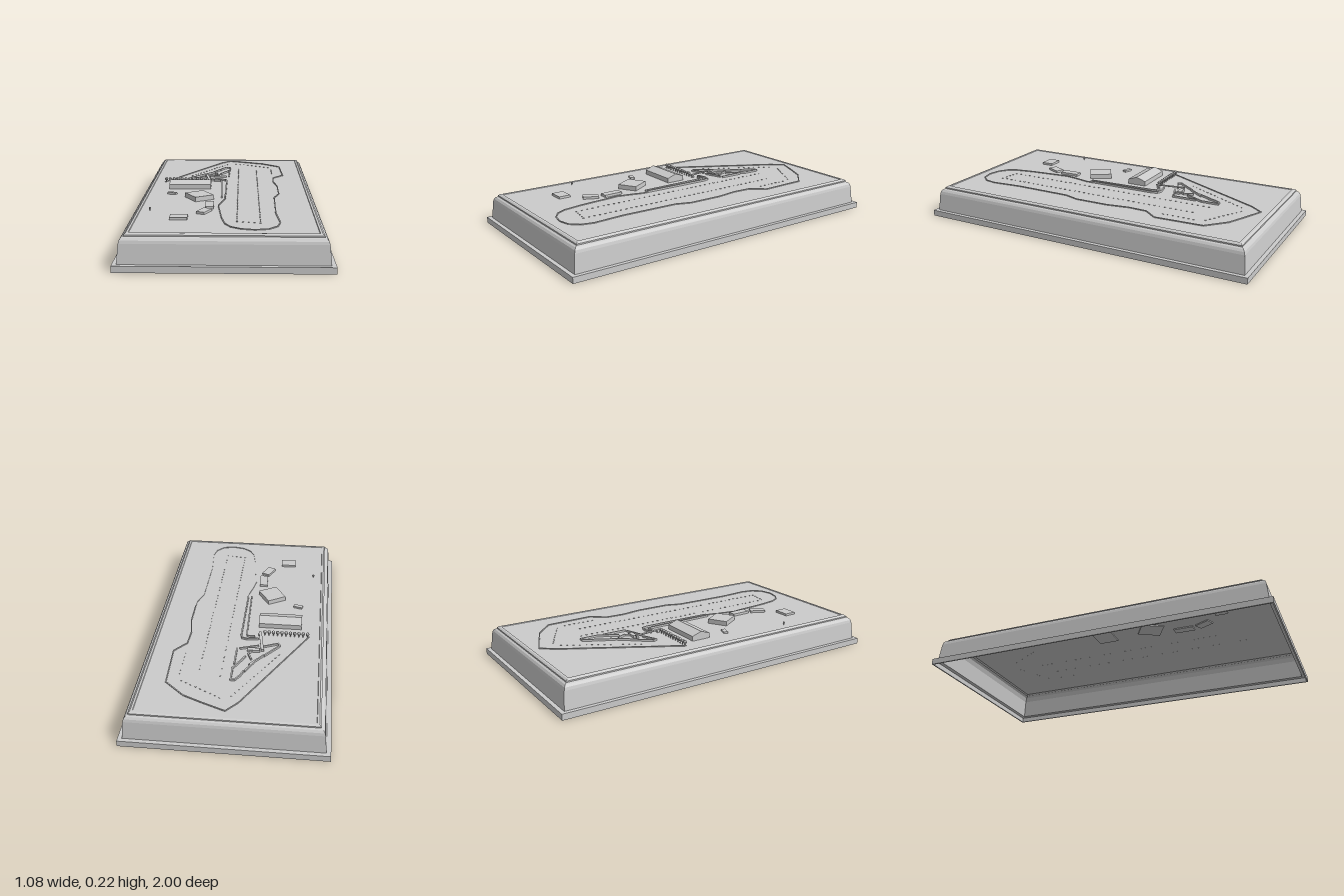
import * as THREE from 'three';
import { mergeGeometries } from 'three/addons/utils/BufferGeometryUtils.js';

const GROUND = 0.177;
const mat = new THREE.MeshStandardMaterial({ color: 0xcccccc, flatShading: true, side: THREE.DoubleSide });

// Mitred rectangular shell; profile is [inset, height] from the outer edge.
function rectShell(profile) {
  const pos = [];
  const signs = [[1, 1], [1, -1], [-1, -1], [-1, 1]];
  const at = ([inset, y], k) => {
    const [sx, sz] = signs[k % 4];
    return [sx * (0.54 - inset), y, sz * (1 - inset)];
  };
  for (let i = 0; i < profile.length - 1; i++) {
    for (let k = 0; k < 4; k++) {
      const a = at(profile[i], k), b = at(profile[i], k + 1);
      const c = at(profile[i + 1], k + 1), d = at(profile[i + 1], k);
      pos.push(...a, ...b, ...c, ...a, ...c, ...d);
    }
  }
  const g = new THREE.BufferGeometry();
  g.setAttribute('position', new THREE.Float32BufferAttribute(pos, 3));
  g.computeVertexNormals();
  return g;
}

// Low wall following [x, z] points, one box per segment.
function wall(points, width, height, closed = false, base = GROUND) {
  const pts = closed ? [...points, points[0]] : points;
  const parts = [];
  for (let i = 0; i < pts.length - 1; i++) {
    const [x0, z0] = pts[i], [x1, z1] = pts[i + 1];
    const g = new THREE.BoxGeometry(Math.hypot(x1 - x0, z1 - z0) + width * 0.6, height, width);
    g.rotateY(Math.atan2(z0 - z1, x1 - x0));
    g.translate((x0 + x1) / 2, base + height / 2, (z0 + z1) / 2);
    parts.push(g);
  }
  return mergeGeometries(parts);
}

// Row of small marker blocks from one [x, z] point to another.
function markers([x0, z0], [x1, z1], count) {
  const parts = [];
  for (let i = 0; i < count; i++) {
    const t = i / (count - 1);
    const g = new THREE.BoxGeometry(0.005, 0.003, 0.009);
    g.rotateY(Math.atan2(x1 - x0, z1 - z0));
    g.translate(x0 + (x1 - x0) * t, GROUND + 0.001, z0 + (z1 - z0) * t);
    parts.push(g);
  }
  return mergeGeometries(parts);
}

export function createModel() {
  const model = new THREE.Group();
  const add = (name, geometry, parent = model) => {
    const mesh = new THREE.Mesh(geometry, mat);
    mesh.name = name;
    parent.add(mesh);
    return mesh;
  };

  // Hollow plinth: flange, sloping wall, rounded shoulder, raised rim, inner skin
  add('plinth', rectShell([
    [0.008, 0], [0, 0], [0, 0.034], [0.023, 0.034], [0.033, 0.135], [0.037, 0.15],
    [0.045, 0.161], [0.056, 0.166], [0.056, 0.173], [0.066, 0.18], [0.077, 0.18], [0.079, GROUND],
  ]));
  add('innerSkin', rectShell([
    [0.066, 0.168], [0.051, 0.158], [0.041, 0.133], [0.03, 0.03], [0.008, 0.028], [0.008, 0],
  ]));
  const ground = new THREE.PlaneGeometry(0.93, 1.85).rotateX(-Math.PI / 2);
  add('ground', ground.translate(0, GROUND, 0));

  // Outer boundary of the circuit
  const boundary = [
    [0, -0.88], [0.12, -0.83], [0.23, -0.78], [0.34, -0.68], [0.35, -0.4], [0.285, -0.32],
    [0.28, -0.21], [0.3, -0.08], [0.3, 0.12], [0.27, 0.21], [0.265, 0.55], [0.28, 0.73],
    [0.265, 0.8], [0.22, 0.85], [0.15, 0.865], [0.08, 0.85], [0.03, 0.815], [0, 0.76],
    [-0.02, 0.65], [-0.045, 0.4], [-0.03, 0.32], [-0.01, 0.24], [-0.01, 0.2],
  ];
  add('boundaryKerb', wall(boundary, 0.006, 0.005));
  add('westBoundary', wall([[0, -0.88], [-0.06, -0.81], [-0.4, -0.19]], 0.005, 0.005));

  // Dotted lane markings
  const lanes = new THREE.Group();
  lanes.name = 'laneMarkings';
  model.add(lanes);
  const rows = [
    [[0.06, -0.6], [0.06, 0.72], 40], [[0.18, -0.55], [0.18, 0.74], 40],
    [[0.06, 0.72], [0.18, 0.74], 5], [[-0.02, -0.76], [-0.24, -0.38], 14],
    [[0.04, -0.78], [0.26, -0.66], 9], [[0.28, -0.6], [0.28, -0.42], 7],
  ];
  rows.forEach(([a, b, n], i) => add('markerRow' + (i + 1), markers(a, b, n), lanes));

  // Barriers around the infield and along the pit lane
  const barriers = new THREE.Group();
  barriers.name = 'barriers';
  model.add(barriers);
  const lines = [
    [[0.002, -0.53], [0.002, -0.63], [-0.02, -0.63], [-0.045, -0.59], [-0.06, -0.55]],
    [[0.002, -0.53], [-0.055, -0.42]],
    [[-0.065, -0.55], [-0.105, -0.47]],
    [[-0.085, -0.49], [-0.155, -0.4]],
    [[-0.16, -0.4], [-0.24, -0.3], [-0.23, -0.28], [-0.15, -0.315]],
    [[-0.12, -0.31], [-0.02, -0.345]],
    [[-0.002, -0.49], [-0.002, -0.35]],
    [[-0.13, -0.36], [-0.065, -0.36], [-0.065, -0.34]],
    [[-0.09, -0.44], [-0.07, -0.39], [-0.09, -0.36]],
    [[-0.11, -0.24], [-0.05, -0.25], [-0.02, -0.24], [-0.012, -0.21], [-0.012, 0.21]],
    [[-0.09, -0.22], [-0.05, -0.22], [-0.043, -0.19], [-0.033, 0.21]],
  ];
  lines.forEach((p, i) => add('barrier' + (i + 1), wall(p, 0.008, 0.011), barriers));

  // Footbridge with a post at each end
  const bridge = new THREE.Group();
  bridge.name = 'footbridge';
  model.add(bridge);
  add('deck', wall([[-0.145, -0.355], [-0.12, -0.19]], 0.016, 0.005, false, 0.191), bridge);
  for (const [x, z] of [[-0.145, -0.35], [-0.12, -0.2]]) {
    add('post', new THREE.BoxGeometry(0.016, 0.018, 0.012), bridge).position.set(x, 0.186, z);
  }
  add('bridgeStairs', new THREE.BoxGeometry(0.06, 0.014, 0.025)).position.set(-0.1, 0.184, -0.355);

  // Gabled hangar
  const gable = new THREE.Shape([[0, 0.17], [0.115, 0.17], [0.115, 0.205], [0.0575, 0.225], [0, 0.205]]
    .map(([x, y]) => new THREE.Vector2(x, y)));
  const hangar = new THREE.ExtrudeGeometry(gable, { depth: 0.25, bevelEnabled: false });
  hangar.rotateY(-Math.PI / 2).translate(-0.105, 0, -0.117);
  add('hangar', hangar);

  // Flat-roofed buildings: x, z, width, depth, top, turn
  const buildings = [
    ['mainBuilding', -0.16, 0.225, 0.117, 0.13, 0.204, 0.54],
    ['longBuilding', -0.094, 0.407, 0.048, 0.115, 0.191, 0.03],
    ['turnedBuilding', -0.117, 0.533, 0.05, 0.09, 0.19, -0.43],
    ['cornerBuilding', -0.242, 0.658, 0.092, 0.07, 0.19, 0.02],
    ['shed', -0.326, 0.124, 0.053, 0.025, 0.188, -0.3],
  ];
  for (const [name, x, z, w, d, top, turn] of buildings) {
    const m = add(name, new THREE.BoxGeometry(w, top - 0.17, d));
    m.position.set(x, (top + 0.17) / 2, z);
    m.rotation.y = turn;
  }

  // Row of trees behind the hangar and one standing alone
  const trees = new THREE.Group();
  trees.name = 'trees';
  model.add(trees);
  const spots = [[-0.41, 0.5]];
  for (let i = 0; i < 11; i++) spots.push([-0.392 + i * 0.0245, -0.192]);
  spots.forEach(([x, z], i) => {
    const size = i === 0 ? 0.6 : 1;
    const tree = new THREE.Group();
    tree.name = 'tree';
    tree.position.set(x, GROUND, z);
    tree.scale.setScalar(size);
    add('trunk', new THREE.CylinderGeometry(0.003, 0.003, 0.016, 6), tree).position.y = 0.008;
    add('crown', new THREE.SphereGeometry(0.0105, 8, 6), tree).position.y = 0.022;
    trees.add(tree);
  });
  return model;
}
